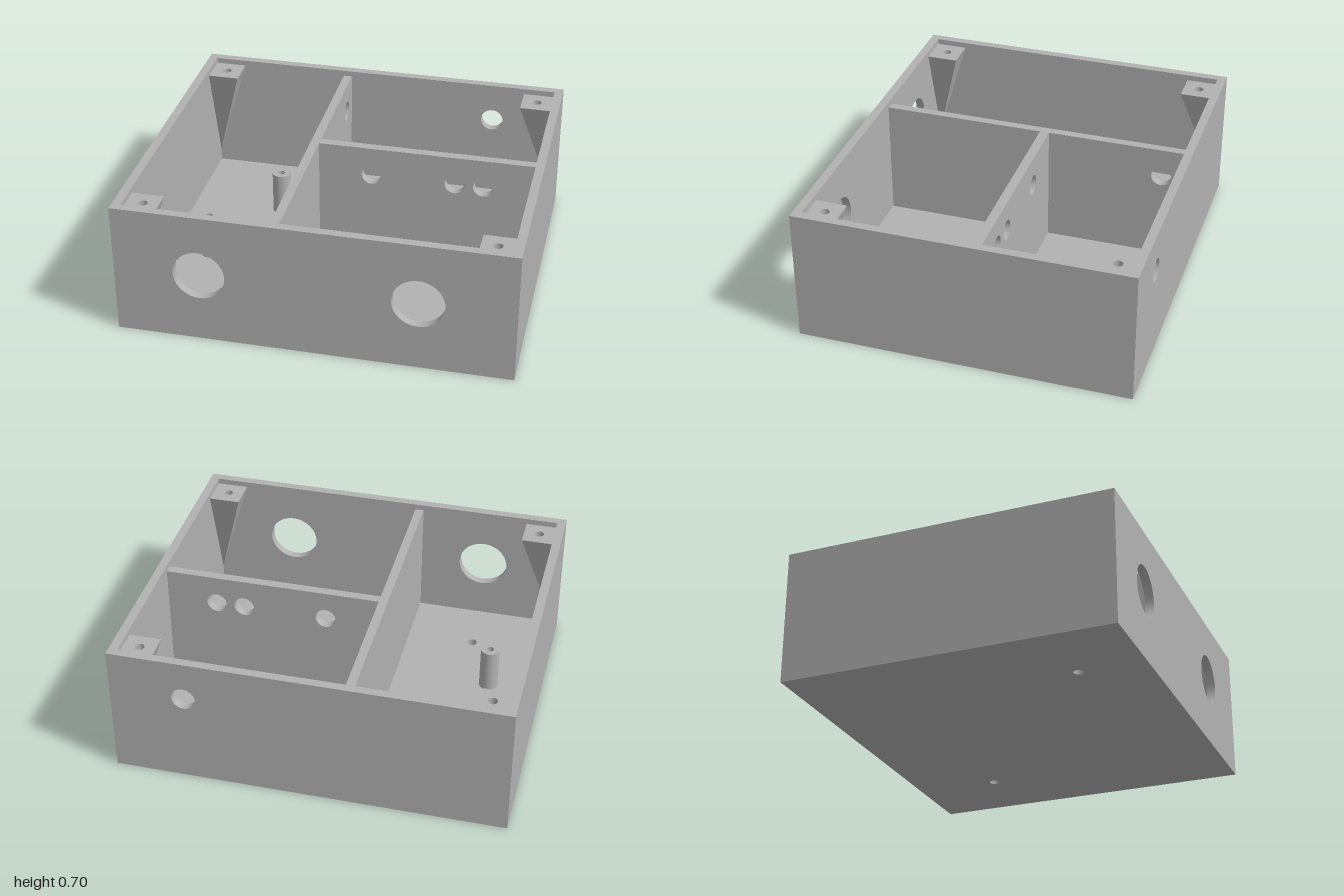
import * as THREE from 'three';

const W = 1, D = 0.857, H = 0.7, T = 0.045;   // half width, half depth, height, wall thickness
const IX = W - T, IZ = D - T;                 // inner half sizes
const TOP = 0.67;                             // height of dividers and posts, below the rim

const grey = new THREE.MeshStandardMaterial({ color: 0xb2b2b2 });
grey.name = 'plain grey';

// Flat plate spanning u0..u1, v0..v1 with round holes [u, v, radius]
function plate(u0, u1, v0, v1, depth, holes = []) {
  const s = new THREE.Shape();
  s.moveTo(u0, v0).lineTo(u1, v0).lineTo(u1, v1).lineTo(u0, v1).closePath();
  for (const [u, v, r] of holes) s.holes.push(new THREE.Path().absarc(u, v, r, 0, Math.PI * 2, true));
  return new THREE.ExtrudeGeometry(s, { depth, bevelEnabled: false, curveSegments: 40 });
}

export function createModel() {
  const model = new THREE.Group();
  model.name = 'enclosure';
  const add = (name, geometry, parent = model) => {
    const m = new THREE.Mesh(geometry, grey);
    m.name = name;
    parent.add(m);
    return m;
  };

  // Outer walls
  add('frontWall', plate(-W, W, 0, H, T, [[-0.565, 0.372, 0.131], [0.522, 0.372, 0.131]]).translate(0, 0, IZ));
  add('backWall', plate(-W, W, 0, H, T, [[0.62, 0.49, 0.06]]).translate(0, 0, -D));
  for (const [name, side] of [['leftWall', 1], ['rightWall', -1]]) {
    add(name, new THREE.BoxGeometry(T, H, IZ * 2).translate(side * (W - T / 2), H / 2, 0));
  }

  // Floor with two drain holes
  add('floor', plate(-IX, IX, -IZ, IZ, T, [[0.617, 0.417, 0.026], [-0.573, -0.515, 0.026]]).rotateX(-Math.PI / 2));

  // Inner dividers with cable holes
  add('longDivider', plate(-IZ, IZ, T, TOP, T, [[-0.69, 0.515, 0.053]])
    .rotateY(-Math.PI / 2).translate(-0.175, 0, 0));
  add('crossDivider', plate(-0.175, IX, T, TOP, 0.048, [0.105, 0.542, 0.69].map(x => [x, 0.515, 0.053]))
    .translate(0, 0, -0.084));

  // Hollow standoffs on the floor
  for (const [x, z] of [[-0.465, -0.343], [-0.724, 0.17]]) {
    const ring = new THREE.Shape().absarc(0, 0, 0.049, 0, Math.PI * 2, false);
    ring.holes.push(new THREE.Path().absarc(0, 0, 0.019, 0, Math.PI * 2, true));
    const g = new THREE.ExtrudeGeometry(ring, { depth: 0.28 - T, bevelEnabled: false, curveSegments: 32 });
    add('standoff', g.rotateX(-Math.PI / 2).translate(x, T, z));
  }

  // Corner screw posts: square tops tapering down into the corners
  const S = 0.165, R = 0.024, DROP = 0.56, BORE = 0.17;
  const cap = new THREE.Shape();
  cap.moveTo(0, -S).lineTo(S, -S).lineTo(S, 0).lineTo(0, 0).closePath();
  cap.holes.push(new THREE.Path().absarc(S / 2, -S / 2, R, 0, Math.PI * 2, true));
  const capGeo = new THREE.ShapeGeometry(cap, 24).rotateX(-Math.PI / 2);
  const taperGeo = new THREE.BufferGeometry();
  taperGeo.setAttribute('position', new THREE.Float32BufferAttribute([
    0, 0, S, 0, -DROP, 0, S, 0, S,
    S, 0, S, 0, -DROP, 0, S, 0, 0,
  ], 3));
  taperGeo.computeVertexNormals();
  // Closed screw bore, facing inwards
  const boreGeo = new THREE.LatheGeometry(
    [new THREE.Vector2(R, 0), new THREE.Vector2(R, -BORE)], 32).translate(S / 2, 0, S / 2);
  const boreEnd = new THREE.CircleGeometry(R, 32).rotateX(-Math.PI / 2).translate(S / 2, -BORE, S / 2);
  const inner = grey.clone();
  inner.name = 'plain grey bore';
  inner.side = THREE.DoubleSide;
  for (const sx of [-1, 1]) for (const sz of [-1, 1]) {
    const post = new THREE.Group();
    post.name = 'screwPost';
    add('postTop', capGeo, post);
    add('postTaper', taperGeo, post);
    add('screwBore', boreGeo, post).material = inner;
    add('boreEnd', boreEnd, post);
    post.position.set(sx * IX, TOP, sz * IZ);
    post.scale.set(-sx, 1, -sz);
    model.add(post);
  }
  return model;
}
